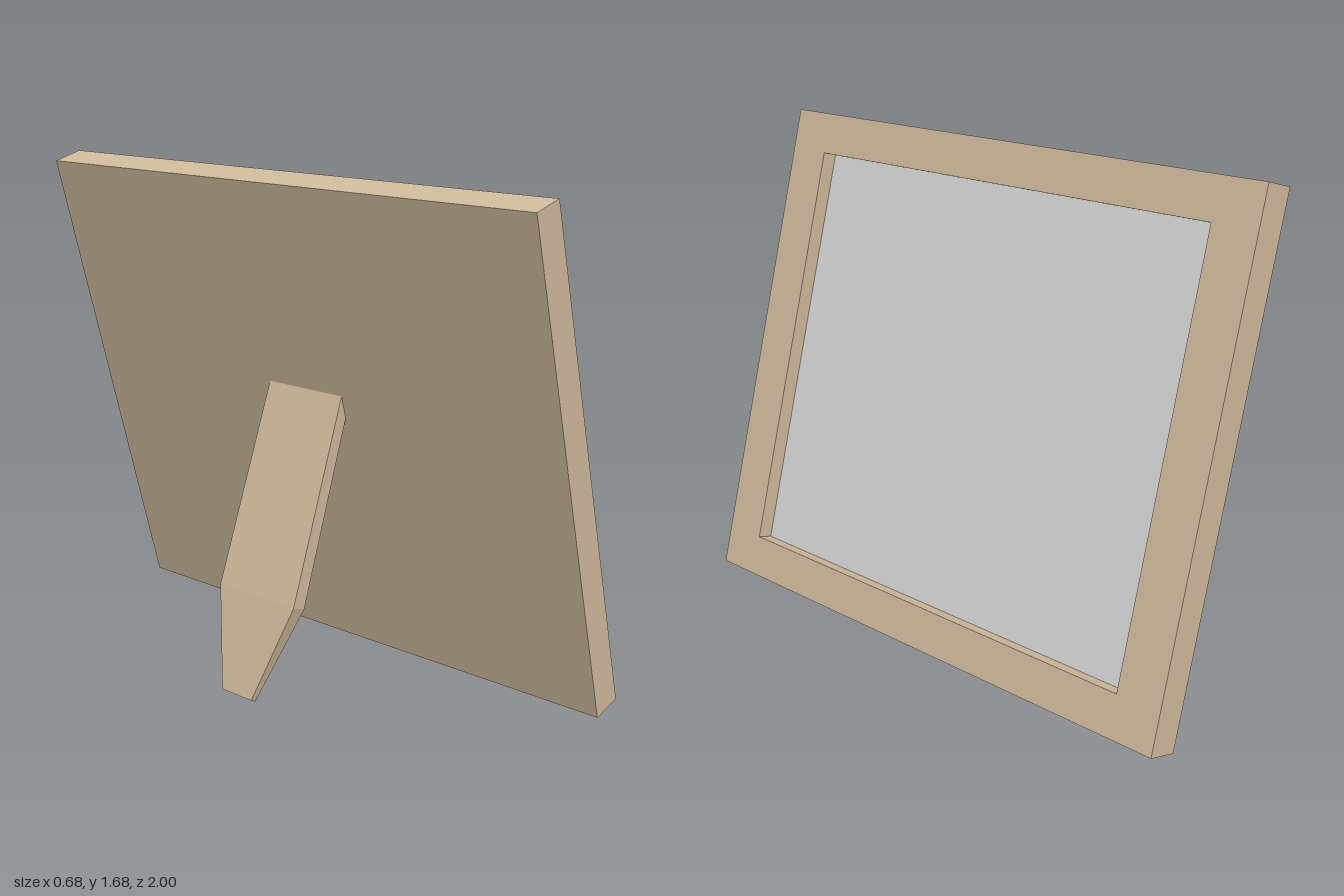
import * as THREE from 'three';

export function createModel() {
  const wood = new THREE.MeshStandardMaterial({ color: 0xd0bb9c });
  wood.name = 'light wood';
  const pane = new THREE.MeshStandardMaterial({ color: 0xd7d7d7 });
  pane.name = 'pale grey';

  const model = new THREE.Group();
  model.name = 'pictureFrame';
  const add = (parent, name, geometry, material) => {
    const mesh = new THREE.Mesh(geometry, material);
    mesh.name = name;
    parent.add(mesh);
    return mesh;
  };

  // Leaning frame, hinged at its lower back edge
  const H = 1.666, T = 0.108, BACK = 0.052, BORDER_Y = 0.137, HALF_Z = 0.837;
  const frame = new THREE.Group();
  frame.name = 'frame';
  frame.position.set(0.235, 0.045, 0);
  frame.rotation.z = THREE.MathUtils.degToRad(15);
  model.add(frame);

  const rect = (path, w, y0, y1) => {
    path.moveTo(-w, y0);
    path.lineTo(w, y0);
    path.lineTo(w, y1);
    path.lineTo(-w, y1);
    path.closePath();
    return path;
  };

  // Border with its opening
  const outline = rect(new THREE.Shape(), 1, 0, H);
  outline.holes.push(rect(new THREE.Path(), HALF_Z, BORDER_Y, H - BORDER_Y));
  const border = new THREE.ExtrudeGeometry(outline, { depth: T - BACK, bevelEnabled: false });
  border.rotateY(Math.PI / 2);
  add(frame, 'border', border, wood).position.x = BACK;

  // Back board and picture pane
  add(frame, 'backBoard', new THREE.BoxGeometry(BACK, H, 2), wood).position.set(BACK / 2, H / 2, 0);
  add(frame, 'picturePane', new THREE.BoxGeometry(0.004, H - 2 * BORDER_Y, 2 * HALF_Z), pane)
    .position.set(BACK + 0.001, H / 2, 0);

  // Stand: cross-sections as back x, y, front x, y, half width
  const sections = [
    [-0.345, 0.01, -0.327, 0, 0.066],
    [-0.25, 0.325, -0.2, 0.308, 0.165],
    [-0.014, 0.978, 0.008, 0.905, 0.157],
  ];
  const rings = sections.map(([bx, by, fx, fy, w]) => [
    [bx, by, -w], [bx, by, w], [fx, fy, w], [fx, fy, -w],
  ]);
  const points = [];
  const quad = (a, b, c, d) => points.push(...a, ...b, ...c, ...a, ...c, ...d);
  for (let i = 0; i < rings.length - 1; i++) {
    for (let j = 0; j < 4; j++) {
      const k = (j + 1) % 4;
      quad(rings[i][j], rings[i][k], rings[i + 1][k], rings[i + 1][j]);
    }
  }
  const [foot, , top] = rings;
  quad(foot[3], foot[2], foot[1], foot[0]);
  quad(top[0], top[1], top[2], top[3]);
  const stand = new THREE.BufferGeometry();
  stand.setAttribute('position', new THREE.Float32BufferAttribute(points, 3));
  stand.computeVertexNormals();
  add(model, 'stand', stand, wood);

  return model;
}
